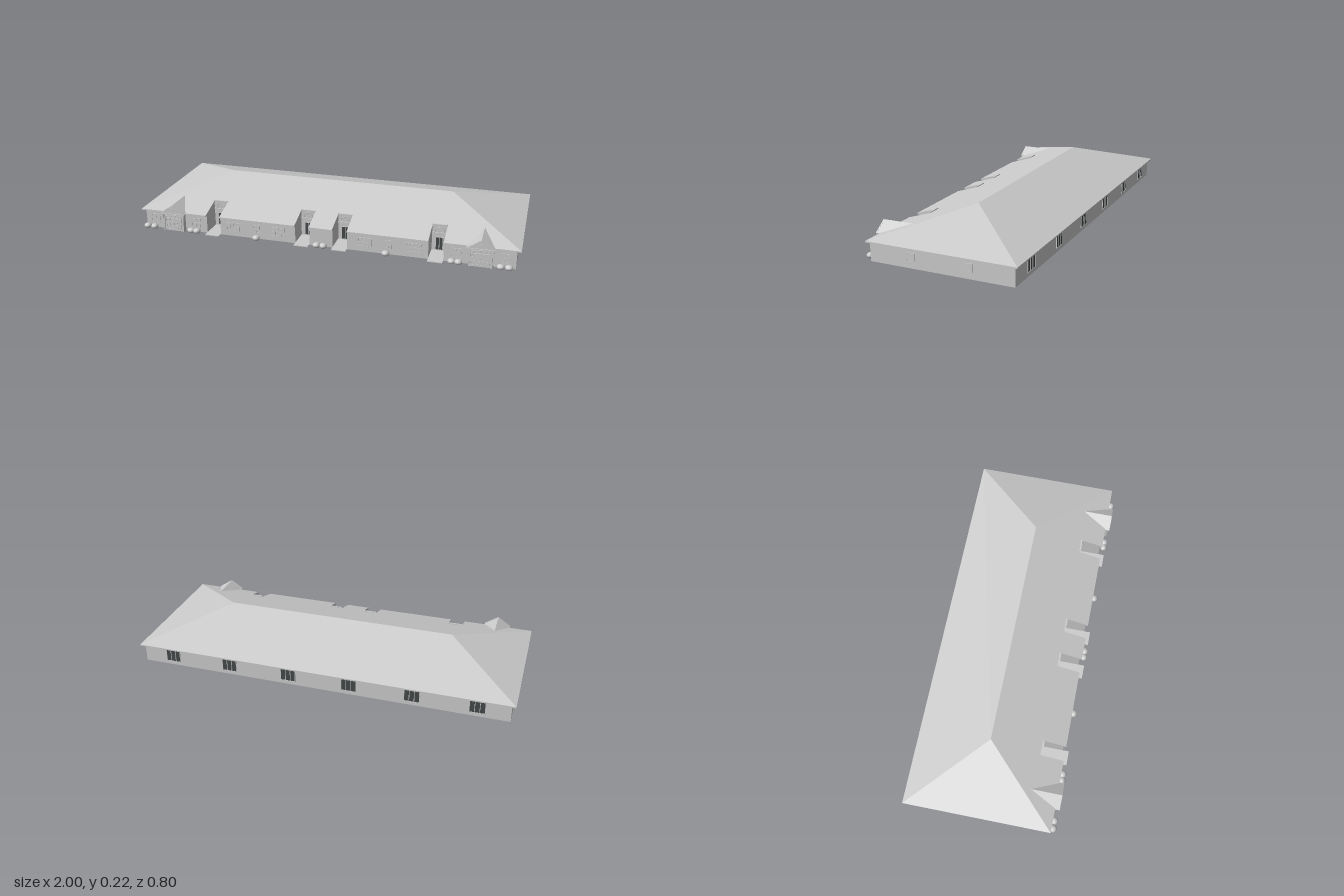
import * as THREE from 'three';

const grey = new THREE.MeshStandardMaterial({ color: 0xcccccc, flatShading: true });
const thin = new THREE.MeshStandardMaterial({ color: 0xcccccc, flatShading: true, side: THREE.DoubleSide });
const smooth = new THREE.MeshStandardMaterial({ color: 0xcccccc });
const dark = new THREE.MeshStandardMaterial({ color: 0x45494a });

const ENTRIES = [-0.59, -0.1, 0.1, 0.59];
const GABLES = [-0.81, 0.81];
const HALF = 0.038, NOTCH = 0.25;                 // entry court half width and back wall z
const EAVE = 0.103, RIDGE = 0.225, FRONT = 0.37, BACK = -0.4, RUN = 0.385;
const WALL = 0.357, REAR = -0.38, SIDE = 0.98;

const roofY = (x, z) =>
  EAVE + (RIDGE - EAVE) * Math.min(1 - Math.abs(x), FRONT - z, z - BACK) / RUN;

function add(parent, name, geometry, material = grey, x = 0, y = 0, z = 0) {
  const mesh = new THREE.Mesh(geometry, material);
  mesh.name = name;
  mesh.position.set(x, y, z);
  parent.add(mesh);
  return mesh;
}

const box = (parent, name, w, h, d, x, y, z, material) =>
  add(parent, name, new THREE.BoxGeometry(w, h, d), material, x, y, z);

// Plan shape from [x, z] points
const plan = pts => new THREE.Shape(pts.map(([x, z]) => new THREE.Vector2(x, -z)));

// Front edge from left to right, stepping back around every entry court
const frontEdge = (xEnd, z) => [[-xEnd, z],
  ...ENTRIES.flatMap(x => [[x - HALF, z], [x - HALF, NOTCH], [x + HALF, NOTCH], [x + HALF, z]]),
  [xEnd, z]];

function slab(parent, name, pts, y0, y1) {
  const g = new THREE.ExtrudeGeometry(plan(pts), { depth: y1 - y0, bevelEnabled: false });
  return add(parent, name, g.rotateX(-Math.PI / 2), grey, 0, y0, 0);
}

function roofSlope(parent, name, pts) {
  const g = new THREE.ShapeGeometry(plan(pts)).rotateX(-Math.PI / 2);
  const p = g.attributes.position;
  for (let i = 0; i < p.count; i++) p.setY(i, roofY(p.getX(i), p.getZ(i)));
  g.computeVertexNormals();
  add(parent, name, g, thin);
}

// Framed opening facing +z, with muntins; panes wide by rows high
function framed(name, w, h, cols, rows, paneMaterial = grey) {
  const g = new THREE.Group(), t = 0.003;
  g.name = name;
  box(g, 'pane', w, h, 0.002, 0, 0, 0.0005, paneMaterial);
  for (let i = 0; i <= cols; i++)
    box(g, 'mullion', t, h + t, 0.005, -w / 2 + w * i / cols, 0, 0.001);
  for (let j = 0; j <= rows; j++)
    box(g, 'muntin', w, t, 0.005, 0, -h / 2 + h * j / rows, 0.001);
  return g;
}

function place(parent, item, x, y, z, turn = 0) {
  item.position.set(x, y, z);
  item.rotation.y = turn;
  parent.add(item);
}

// Recessed entry court, open to the sky
function entry() {
  const g = new THREE.Group();
  g.name = 'entryCourt';
  const top = roofY(0, NOTCH);
  box(g, 'floorSlab', HALF * 2, 0.004, 0.14, 0, 0.002, 0.32);
  box(g, 'upperBackWall', HALF * 2, top + 0.004 - 0.095, 0.004, 0, (top + 0.099) / 2, NOTCH - 0.002);
  box(g, 'coping', HALF * 2, 0.005, 0.008, 0, top + 0.003, NOTCH);
  const profile = new THREE.Shape([[NOTCH, 0.095], [FRONT, 0.095], [FRONT, EAVE], [NOTCH, top]]
    .map(p => new THREE.Vector2(...p)));
  for (const s of [-1, 1])
    add(g, 'upperSideWall', new THREE.ShapeGeometry(profile).rotateY(-Math.PI / 2), thin, s * HALF);
  place(g, framed('door', 0.036, 0.07, 2, 1, dark), 0, 0.041, NOTCH);
  box(g, 'lintel', HALF * 2, 0.004, 0.006, 0, 0.1, NOTCH + 0.002);
  add(g, 'archTrim', new THREE.TorusGeometry(0.024, 0.0018, 6, 16, Math.PI), smooth, 0, 0.106, NOTCH + 0.001);
  return g;
}

// Projecting bay under a small gable
function gableBay() {
  const g = new THREE.Group();
  g.name = 'gableBay';
  const w = 0.07, zf = 0.394, peak = 0.147, zb = FRONT - RUN * (peak - EAVE) / (RIDGE - EAVE);
  const v = [[0, peak, zf], [0, peak, zb], [-w, 0.1, FRONT], [-w, 0.1, zf], [w, 0.1, FRONT], [w, 0.1, zf]];
  const roof = new THREE.BufferGeometry();
  roof.setAttribute('position', new THREE.Float32BufferAttribute(v.flat(), 3));
  roof.setIndex([0, 1, 2, 0, 2, 3, 0, 4, 1, 0, 5, 4]);
  roof.computeVertexNormals();
  add(g, 'gableRoof', roof, thin);
  const face = new THREE.Shape([new THREE.Vector2(-w, 0.1), new THREE.Vector2(w, 0.1), new THREE.Vector2(0, peak)]);
  add(g, 'gableFace', new THREE.ShapeGeometry(face), thin, 0, 0, 0.388);
  for (const s of [-1, 1]) {
    const board = box(g, 'bargeBoard', 0.083, 0.004, 0.005, s * w / 2, 0.122, 0.391);
    board.rotation.z = -s * Math.atan2(peak - 0.1, w);
    box(g, 'pilaster', 0.008, 0.098, 0.008, s * 0.054, 0.049, 0.38);
    box(g, 'bracket', 0.006, 0.025, 0.01, s * 0.06, 0.082, 0.384);
  }
  add(g, 'gableVent', new THREE.CylinderGeometry(0.008, 0.008, 0.004, 12).rotateX(Math.PI / 2), grey, 0, 0.12, 0.389);
  box(g, 'soffit', w * 2, 0.004, 0.035, 0, 0.099, 0.375);
  box(g, 'bayWall', 0.116, 0.098, 0.026, 0, 0.049, 0.365);
  place(g, framed('bayWindow', 0.084, 0.06, 4, 3), 0, 0.04, 0.3785);
  const arch = new THREE.QuadraticBezierCurve3(new THREE.Vector3(-0.052, 0.078, 0.381),
    new THREE.Vector3(0, 0.098, 0.381), new THREE.Vector3(0.052, 0.078, 0.381));
  add(g, 'archTrim', new THREE.TubeGeometry(arch, 12, 0.002, 6), smooth);
  return g;
}

export function createModel() {
  const model = new THREE.Group();
  model.name = 'longHouse';

  // Walls and eaves
  slab(model, 'walls', [...frontEdge(SIDE, WALL), [SIDE, REAR], [-SIDE, REAR]], 0, 0.097);
  slab(model, 'eaves', [...frontEdge(1, FRONT), [1, BACK], [-1, BACK]], 0.096, EAVE);

  // Hipped roof
  const rx = 1 - RUN, rz = FRONT - RUN;
  roofSlope(model, 'frontRoof', [...frontEdge(1, FRONT), [rx, rz], [-rx, rz]]);
  roofSlope(model, 'backRoof', [[1, BACK], [-1, BACK], [-rx, rz], [rx, rz]]);
  for (const s of [-1, 1]) roofSlope(model, 'endRoof', [[s, FRONT], [s, BACK], [s * rx, rz]]);

  for (const x of ENTRIES) place(model, entry(), x, 0, 0);
  for (const x of GABLES) place(model, gableBay(), x, 0, 0);

  // Front, end and rear windows
  for (const s of [-1, 1]) {
    for (const x of [0.23, 0.48]) place(model, framed('frontWindow', 0.07, 0.045, 4, 2), s * x, 0.052, WALL);
    place(model, framed('smallWindow', 0.03, 0.04, 2, 2), s * 0.35, 0.054, WALL);
    for (const x of [0.69, 0.925]) place(model, framed('frontWindow', 0.045, 0.045, 2, 2), s * x, 0.052, WALL);
    for (const z of [0.137, -0.157])
      place(model, framed('endWindow', 0.038, 0.038, 1, 1), s * SIDE, 0.054, z, s * Math.PI / 2);
    for (const x of [0.163, 0.49, 0.816])
      place(model, framed('rearDoor', 0.078, 0.068, 3, 1, dark), s * x, 0.055, REAR, Math.PI);
  }

  // Shrubs along the front
  const shrub = new THREE.SphereGeometry(1, 12, 8);
  for (const x of [-0.965, -0.925, -0.712, -0.68, -0.345, -0.018, 0.018, 0.342, 0.67, 0.704, 0.908, 0.948])
    add(model, 'shrub', shrub, smooth, x, 0.0145, 0.38).scale.set(0.02, 0.0145, 0.019);

  return model;
}
